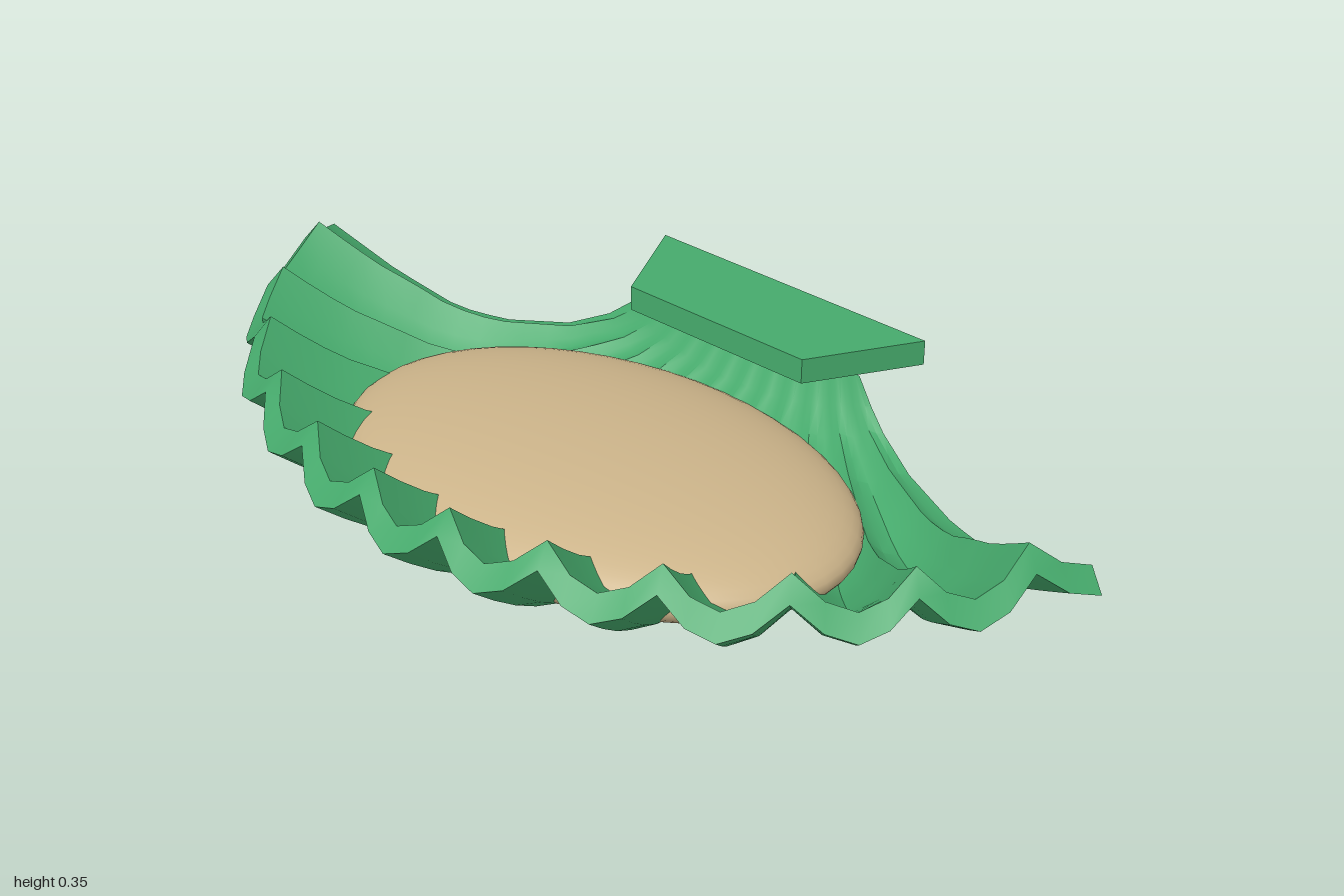
import * as THREE from 'three';
import { toCreasedNormals } from 'three/addons/utils/BufferGeometryUtils.js';

const RIBS = 6;      // ribs on each side of the middle one
const COLS = 4;      // facets across a rib
const ROWS = 16;     // steps from hinge to rim

const curve = pts => new THREE.CatmullRomCurve3(pts.map(p => new THREE.Vector3(...p)));

// Rim seen from above, middle rib to side tip
const rim = curve([[0, 0, 0.495], [0.2, 0, 0.475], [0.405, 0, 0.41], [0.595, 0, 0.315],
  [0.765, 0, 0.165], [0.885, 0, 0.01], [0.968, 0, -0.198]]);

// Heights from hinge to rim as [v, y], along the middle and along the side edge
const MIDDLE = [[0, 0.295], [0.08, 0.18], [0.2, 0.13], [0.35, 0.085], [0.5, 0.045],
  [0.65, 0.065], [0.8, 0.12], [0.9, 0.175], [1, 0.25]];
const EDGE = [[0, 0.295], [0.1, 0.225], [0.25, 0.175], [0.45, 0.15], [0.6, 0.155],
  [0.8, 0.21], [1, 0.285]];

function sample(table, v) {
  let k = 1;
  while (k < table.length - 1 && table[k][0] < v) k++;
  const [v0, y0] = table[k - 1], [v1, y1] = table[k];
  return y0 + (y1 - y0) * (v - v0) / (v1 - v0);
}

// Upper and lower shell points at s (-1..1 across) and v (0 hinge .. 1 rim)
function shellPoints(s, v) {
  const a = Math.abs(s);
  const tip = rim.getPoint(a);
  tip.x *= Math.sign(s);
  const start = new THREE.Vector3(0.27 * s, 0, -0.43);
  const along = tip.clone().sub(start).normalize();
  const phase = a * RIBS - Math.round(a * RIBS);
  const ridge = 1 - Math.cos(Math.PI * phase);
  const top = start.lerp(tip, v).addScaledVector(along, -0.03 * ridge * v * v);
  top.y = THREE.MathUtils.lerp(sample(MIDDLE, v), sample(EDGE, v), a * a)
    + 0.062 * ridge * Math.min(1, v * 1.4);
  const push = v < 0.3 ? -0.055 * (1 - v / 0.3) : 0.034 * (v - 0.3) / 0.7;
  const bottom = top.clone().addScaledVector(along, push);
  bottom.y -= 0.012 + 0.03 * Math.min(1, v / 0.2);
  return [top, bottom];
}

function shellGeometry() {
  const cols = 2 * RIBS * COLS, loop = 2 * (ROWS + 1);
  const pos = [], index = [];
  for (let i = 0; i <= cols; i++) {
    const lower = [];
    for (let j = 0; j <= ROWS; j++) {
      const [t, b] = shellPoints(2 * i / cols - 1, j / ROWS);
      pos.push(t.x, t.y, t.z);
      lower.unshift(b.x, b.y, b.z);
    }
    pos.push(...lower);
  }
  for (let i = 0; i < cols; i++) {
    for (let j = 0; j < loop; j++) {
      const k = (j + 1) % loop;
      const a = i * loop + j, c = i * loop + k, b = a + loop, d = c + loop;
      index.push(a, c, b, b, c, d);
    }
  }
  // side ends
  for (let j = 0; j < ROWS; j++) {
    const quad = o => [o + j, o + j + 1, o + loop - 1 - j, o + loop - 2 - j];
    const [a, b, c, d] = quad(cols * loop);
    index.push(a, b, c, b, d, c);
    const [e, f, g, h] = quad(0);
    index.push(e, g, f, f, g, h);
  }
  const geo = new THREE.BufferGeometry();
  geo.setAttribute('position', new THREE.Float32BufferAttribute(pos, 3));
  geo.setIndex(index);
  return toCreasedNormals(geo, 0.6);
}

export function createModel() {
  const model = new THREE.Group();
  model.name = 'scallopShell';
  const green = new THREE.MeshStandardMaterial({ color: 0x46aa6c });
  green.name = 'shellGreen';
  const tan = new THREE.MeshStandardMaterial({ color: 0xcbb389 });
  tan.name = 'bodyTan';
  const add = (name, geometry, material) => {
    const mesh = new THREE.Mesh(geometry, material);
    mesh.name = name;
    model.add(mesh);
    return mesh;
  };

  add('ribbedShell', shellGeometry(), green);

  // flattened soft body lying in the shell
  const body = add('body', new THREE.SphereGeometry(1, 48, 32), tan);
  body.scale.set(0.565, 0.108, 0.38);
  body.position.set(0, 0.148, 0);

  // trapezoid hinge plate
  const outline = new THREE.Shape([[-0.22, 0.32], [0.22, 0.32], [0.335, 0.54], [-0.335, 0.54]]
    .map(p => new THREE.Vector2(...p)));
  const plate = new THREE.ExtrudeGeometry(outline, { depth: 0.05, bevelEnabled: false });
  plate.rotateX(-Math.PI / 2);
  add('hingePlate', plate, green).position.y = 0.302;

  return model;
}
